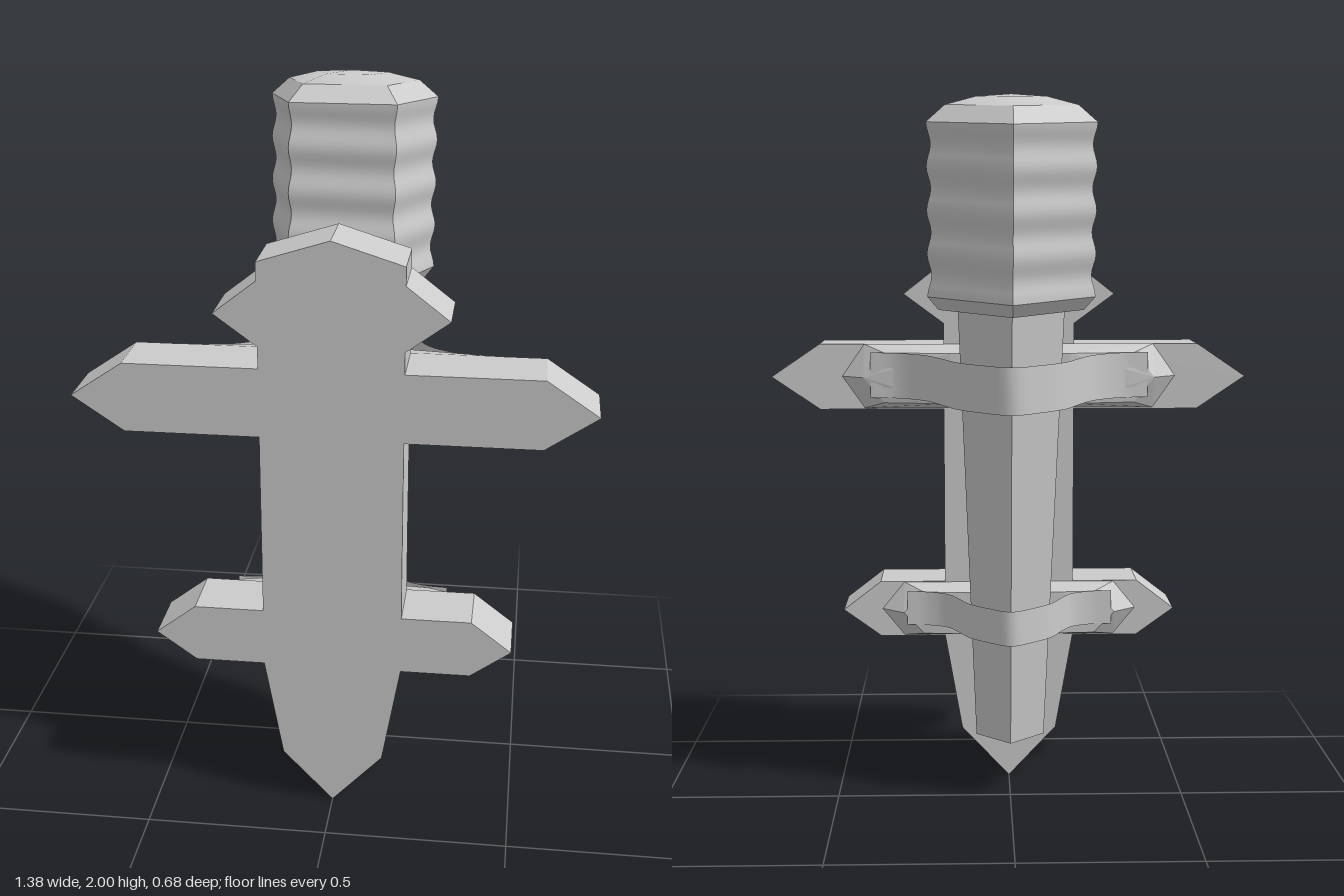
import * as THREE from 'three';
import { toCreasedNormals } from 'three/addons/utils/BufferGeometryUtils.js';
import { ConvexGeometry } from 'three/addons/geometries/ConvexGeometry.js';

const grey = new THREE.MeshStandardMaterial({ color: 0xcccccc });
const thin = new THREE.MeshStandardMaterial({ color: 0xcccccc, side: THREE.DoubleSide });

function part(name, geometry, material = grey) {
  const mesh = new THREE.Mesh(geometry, material);
  mesh.name = name;
  return mesh;
}

// Five-sided solid from a [radius, height] profile, one ridge facing the back
function pentagonal(profile) {
  const points = profile.map(([r, y]) => new THREE.Vector2(r, y));
  return toCreasedNormals(new THREE.LatheGeometry(points, 5, Math.PI), 0.45);
}

// Flat wall plate: one half of the outline, mirrored
function plateGeometry() {
  const half = [[0, 0.005], [0.14, 0.155], [0.19, 0.44], [0.38, 0.44], [0.49, 0.52],
    [0.38, 0.605], [0.19, 0.605], [0.19, 1.12], [0.55, 1.12], [0.69, 1.215], [0.55, 1.31],
    [0.19, 1.31], [0.19, 1.37], [0.305, 1.455], [0.19, 1.545], [0.19, 1.595], [0, 1.655]];
  const mirrored = half.slice(1, -1).reverse().map(([x, y]) => [-x, y]);
  const shape = new THREE.Shape([...half, ...mirrored].map(([x, y]) => new THREE.Vector2(x, y)));
  return new THREE.ExtrudeGeometry(shape, { depth: 0.17, bevelEnabled: false }).translate(0, 0, 0.17);
}

// Pointed, chamfered block on the back of a crossbar
function bracketGeometry({ y, baseH, topH, end, inner, innerZ }) {
  const points = [];
  for (const side of [-1, 1]) {
    const add = (x, dy, z) => points.push(new THREE.Vector3(side * x, y + dy, z));
    add(end, 0, 0.17);
    add(end - 0.065, 0, 0.115);
    for (const v of [-1, 1]) {
      add(end - 0.065, v * baseH, 0.17);
      add(end - 0.125, v * topH, 0.115);
      add(inner, v * topH, innerZ);
    }
  }
  return new ConvexGeometry(points);
}

// Thin strap: a smooth path round the back of the shaft, given height
function strapGeometry({ strapY, strapH, path }) {
  const left = path.map(([x, z]) => new THREE.Vector3(x, 0, z));
  const right = left.slice(0, -1).reverse().map(p => new THREE.Vector3(-p.x, 0, p.z));
  const curve = new THREE.CatmullRomCurve3([...left, ...right], false, 'centripetal');
  const n = 48, positions = [], index = [];
  curve.getPoints(n).forEach((p, i) => {
    const y = strapY + (p.z - 0.115) * 0.05;
    positions.push(p.x, y - strapH, p.z, p.x, y + strapH, p.z);
    if (i < n) {
      const a = i * 2;
      index.push(a, a + 2, a + 1, a + 1, a + 2, a + 3);
    }
  });
  const geometry = new THREE.BufferGeometry();
  geometry.setAttribute('position', new THREE.Float32BufferAttribute(positions, 3));
  geometry.setIndex(index);
  geometry.computeVertexNormals();
  return geometry;
}

export function createModel() {
  const model = new THREE.Group();
  model.name = 'wallTorch';
  model.add(part('wallPlate', plateGeometry()));

  // Torch leaning back from the plate
  const torch = new THREE.Group();
  torch.name = 'torch';
  torch.position.set(0, 0.183, 0.062);
  torch.rotation.x = -0.095;
  torch.add(part('shaft', pentagonal([[0, 0], [0.103, 0], [0.154, 1.27], [0, 1.27]])));

  // Rippled head with a bevelled underside and a low domed top
  const head = [[0, 1.253], [0.208, 1.253]];
  const rings = 32, low = 1.29, high = 1.753;
  for (let i = 0; i <= rings; i++) {
    const t = i / rings;
    head.push([0.233 + 0.006 * Math.cos(t * Math.PI * 8), low + t * (high - low)]);
  }
  head.push([0.186, 1.797], [0.1, 1.818], [0, 1.824]);
  torch.add(part('head', pentagonal(head)));
  model.add(torch);

  // Upper and lower holders
  const holders = [
    { name: 'upper', y: 1.217, baseH: 0.093, topH: 0.072, end: 0.485, inner: 0.17, innerZ: 0.082,
      strapY: 1.225, strapH: 0.065,
      path: [[0.4, 0.113], [0.32, 0.1], [0.24, 0.052], [0.188, -0.03], [0.15, -0.098], [0.08, -0.158], [0, -0.203]] },
    { name: 'lower', y: 0.523, baseH: 0.08, topH: 0.062, end: 0.375, inner: 0.15, innerZ: 0.108,
      strapY: 0.538, strapH: 0.05,
      path: [[0.3, 0.113], [0.24, 0.107], [0.18, 0.082], [0.148, 0.035], [0.117, -0.018], [0.06, -0.067], [0, -0.1]] },
  ];
  for (const h of holders) {
    model.add(part(h.name + 'Bracket', bracketGeometry(h)));
    model.add(part(h.name + 'Strap', strapGeometry(h), thin));
  }
  return model;
}
